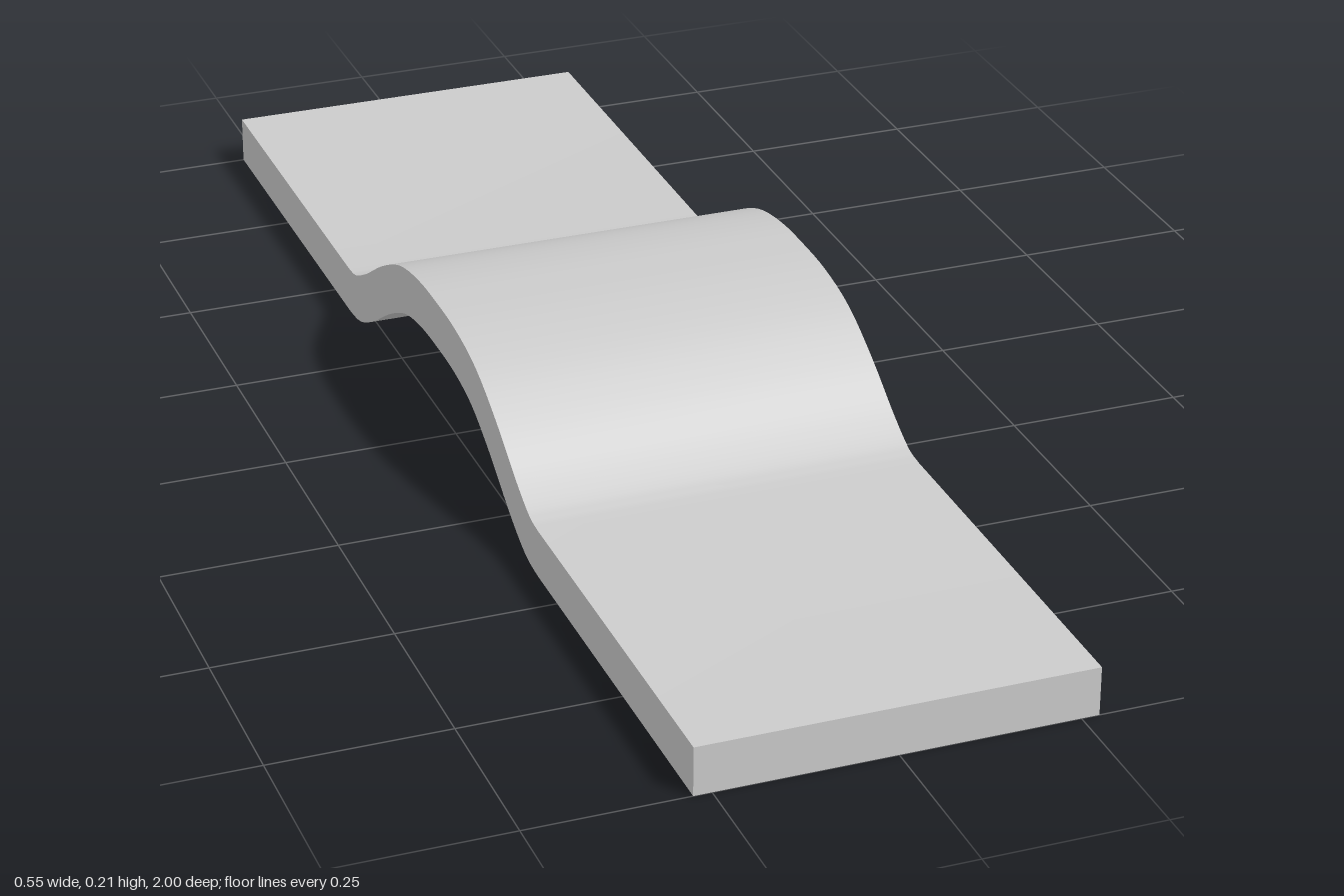
import * as THREE from 'three';
import { toCreasedNormals } from 'three/addons/utils/BufferGeometryUtils.js';

const WIDTH = 0.55;
const THICKNESS = 0.07;

export function createModel() {
  const group = new THREE.Group();

  // Centreline of one half of the hump, crest to flat
  const half = [[0, 0.176], [0.08, 0.173], [0.16, 0.157], [0.24, 0.119], [0.32, 0.07], [0.38, 0.041], [0.425, 0.035]];
  const points = [
    ...half.slice(1).reverse().map(([z, y]) => new THREE.Vector2(-z, y)),
    ...half.map(([z, y]) => new THREE.Vector2(z, y)),
  ];
  const hump = new THREE.SplineCurve(points);

  // Offset the centreline to both faces of the strip
  const top = [new THREE.Vector2(-1, THICKNESS)];
  const bottom = [new THREE.Vector2(-1, 0)];
  const steps = 48;
  for (let i = 0; i <= steps; i++) {
    const p = hump.getPoint(i / steps);
    const t = i === 0 || i === steps ? new THREE.Vector2(1, 0) : hump.getTangent(i / steps);
    const n = new THREE.Vector2(-t.y, t.x).multiplyScalar(THICKNESS / 2);
    top.push(p.clone().add(n));
    const b = p.clone().sub(n);
    b.y = Math.max(b.y, 0);
    bottom.push(b);
  }
  top.push(new THREE.Vector2(1, THICKNESS));
  bottom.push(new THREE.Vector2(1, 0));

  // Bent strip: side profile extruded across the width
  const profile = new THREE.Shape([...bottom, ...top.reverse()]);
  const extruded = new THREE.ExtrudeGeometry(profile, { depth: WIDTH, bevelEnabled: false });
  extruded.translate(0, 0, -WIDTH / 2);
  extruded.rotateY(-Math.PI / 2);

  const strip = new THREE.Mesh(
    toCreasedNormals(extruded, 0.6),
    new THREE.MeshStandardMaterial({ color: 0xcccccc }),
  );
  strip.name = 'bentStrip';
  group.add(strip);
  return group;
}
